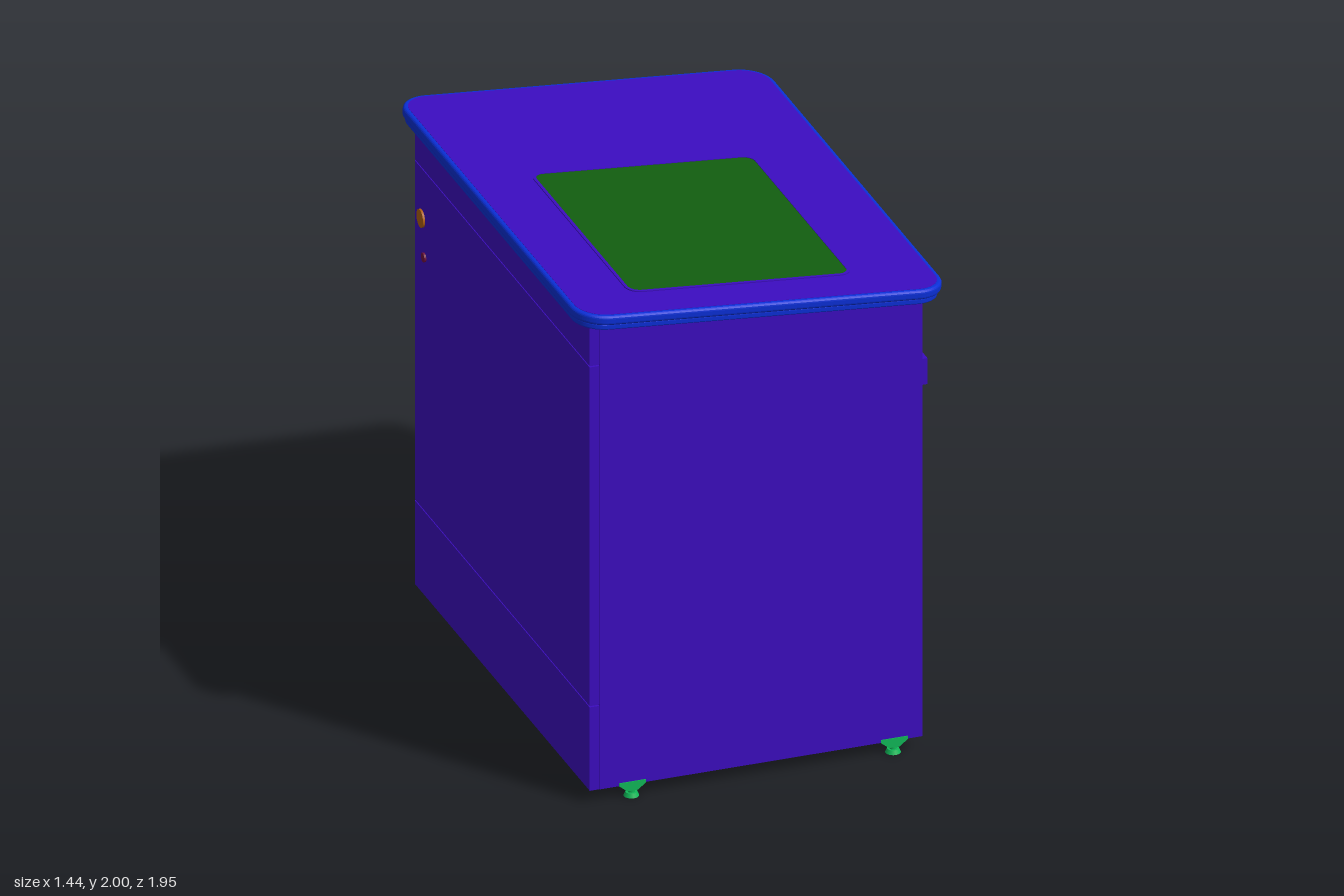
import * as THREE from 'three';

const mat = (color) => new THREE.MeshStandardMaterial({ color });
const purple = mat(0x3c0cc0), blue = mat(0x0a2fd6), green = mat(0x125e10), handleGreen = mat(0x18a010),
  footGreen = mat(0x10b858), maroon = mat(0x701040), orange = mat(0xb06010);

function roundedRect(x0, x1, z0, z1, r, target = new THREE.Shape()) {
  target.moveTo(x0 + r, z0);
  target.lineTo(x1 - r, z0);
  target.absarc(x1 - r, z0 + r, r, -Math.PI / 2, 0);
  target.lineTo(x1, z1 - r);
  target.absarc(x1 - r, z1 - r, r, 0, Math.PI / 2);
  target.lineTo(x0 + r, z1);
  target.absarc(x0 + r, z1 - r, r, Math.PI / 2, Math.PI);
  target.lineTo(x0, z0 + r);
  target.absarc(x0 + r, z0 + r, r, Math.PI, Math.PI * 1.5);
  return target;
}

export function createModel() {
  const model = new THREE.Group();

  const add = (name, geometry, material, parent = model) => {
    const mesh = new THREE.Mesh(geometry, material);
    mesh.name = name;
    parent.add(mesh);
    return mesh;
  };
  // box given by its limits on each axis
  const box = (name, [x0, x1], [y0, y1], [z0, z1], material = purple) =>
    add(name, new THREE.BoxGeometry(x1 - x0, y1 - y0, z1 - z0), material)
      .position.set((x0 + x1) / 2, (y0 + y1) / 2, (z0 + z1) / 2);
  // upright board with an xy outline, centred on z
  const board = (name, points, z, thickness, material = purple) => {
    const shape = new THREE.Shape(points.map((p) => new THREE.Vector2(...p)));
    const geo = new THREE.ExtrudeGeometry(shape, { depth: thickness, bevelEnabled: false });
    geo.translate(0, 0, z - thickness / 2);
    return add(name, geo, material);
  };

  // sloping table top, built flat and then tilted
  const top = new THREE.Group();
  top.name = 'tableTop';
  top.position.y = 1.94;
  top.rotation.z = -0.086;
  model.add(top);
  const plate = (name, outline, hole, y, depth, material, bevel = 0) => {
    const shape = outline;
    if (hole) shape.holes.push(hole);
    const geo = new THREE.ExtrudeGeometry(shape, {
      depth: depth - 2 * bevel, curveSegments: 10, bevelEnabled: bevel > 0,
      bevelThickness: bevel, bevelSize: bevel, bevelOffset: -bevel, bevelSegments: 4,
    });
    geo.rotateX(Math.PI / 2);
    geo.translate(0, y - bevel, 0);
    return add(name, geo, material, top);
  };
  const outline = (inset, target) =>
    roundedRect(-0.72 + inset, 0.72 - inset, -0.975 + inset, 0.975 - inset, 0.12 - inset, target);
  const windowOutline = (grow, target) =>
    roundedRect(-0.455 + grow * -1, 0.395 + grow, -0.235 - grow, 0.785 + grow, 0.04 + grow, target);

  plate('topBoard', outline(0.018), windowOutline(0, new THREE.Path()), 0.001, 0.058, purple);
  plate('topEdge', outline(0), outline(0.03, new THREE.Path()), 0, 0.038, blue, 0.012);
  plate('topEdgeLip', outline(0.012), outline(0.04, new THREE.Path()), -0.036, 0.024, blue, 0.006);
  plate('windowFrame', windowOutline(0.012), windowOutline(0, new THREE.Path()), 0.005, 0.02, purple);
  plate('windowPane', windowOutline(0.001), null, 0.003, 0.058, green);

  // side panels and cabinet divider, cut to the slope
  const sideOutline = [[-0.62, 0.05], [0.63, 0.05], [0.63, 1.835], [-0.62, 1.942]];
  board('leftSidePanel', sideOutline, 0.9, 0.02);
  board('rightSidePanel', sideOutline, -0.9, 0.02);
  board('cabinetDivider', sideOutline, -0.3, 0.02);

  // closed rear wall with a service door
  const rear = [-0.66, -0.622];
  box('rearPlinth', rear, [0.05, 0.388], [-0.908, 0.908]);
  box('rearDoor', rear, [0.393, 1.765], [-0.908, -0.352]);
  box('rearPanel', rear, [0.393, 1.765], [-0.348, 0.908]);
  box('rearTopStrip', rear, [1.77, 1.94], [-0.908, 0.908]);

  // open shelf with its rails, and the cabinet door below
  box('shelf', [-0.62, 0.632], [1.467, 1.487], [-0.89, 0.89]);
  box('deskRail', [0.63, 0.655], [1.465, 1.57], [-0.297, 0.895]);
  box('cabinetRail', [0.63, 0.655], [1.465, 1.57], [-0.895, -0.303]);
  box('cabinetDoor', [0.632, 0.655], [0.05, 1.46], [-0.9, -0.295]);

  // bowed door handle
  const bow = (offset) => Array.from({ length: 17 }, (_, i) => {
    const t = i / 16;
    return [0.65 + offset + 0.03 * Math.sin(Math.PI * t), 0.98 + 0.255 * t];
  });
  board('doorHandle', [...bow(0.006), ...bow(0).reverse()], -0.37, 0.026, handleGreen);

  // round locks on both doors
  const lock = (name, x, y, z, r, material) => {
    const mesh = add(name, new THREE.CylinderGeometry(r, r, 0.014, 24), material);
    mesh.rotation.z = Math.PI / 2;
    mesh.position.set(x, y, z);
  };
  lock('doorLock', 0.656, 0.9, -0.41, 0.018, maroon);
  lock('rearDoorKnob', -0.661, 1.565, -0.835, 0.035, orange);
  lock('rearDoorLock', -0.661, 1.42, -0.805, 0.018, maroon);

  // levelling feet: bracket, stem and pad
  for (const x of [-0.495, 0.52]) {
    for (const z of [-0.898, 0.898]) {
      board('footBracket', [[x - 0.02, 0.025], [x + 0.02, 0.025], [x + 0.052, 0.05],
        [x + 0.052, 0.062], [x - 0.052, 0.062], [x - 0.052, 0.05]], z, 0.03, footGreen);
      add('footStem', new THREE.CylinderGeometry(0.014, 0.014, 0.03, 16), footGreen)
        .position.set(x, 0.025, z);
      add('footPad', new THREE.CylinderGeometry(0.022, 0.029, 0.016, 20), footGreen)
        .position.set(x, 0.008, z);
    }
  }
  return model;
}
